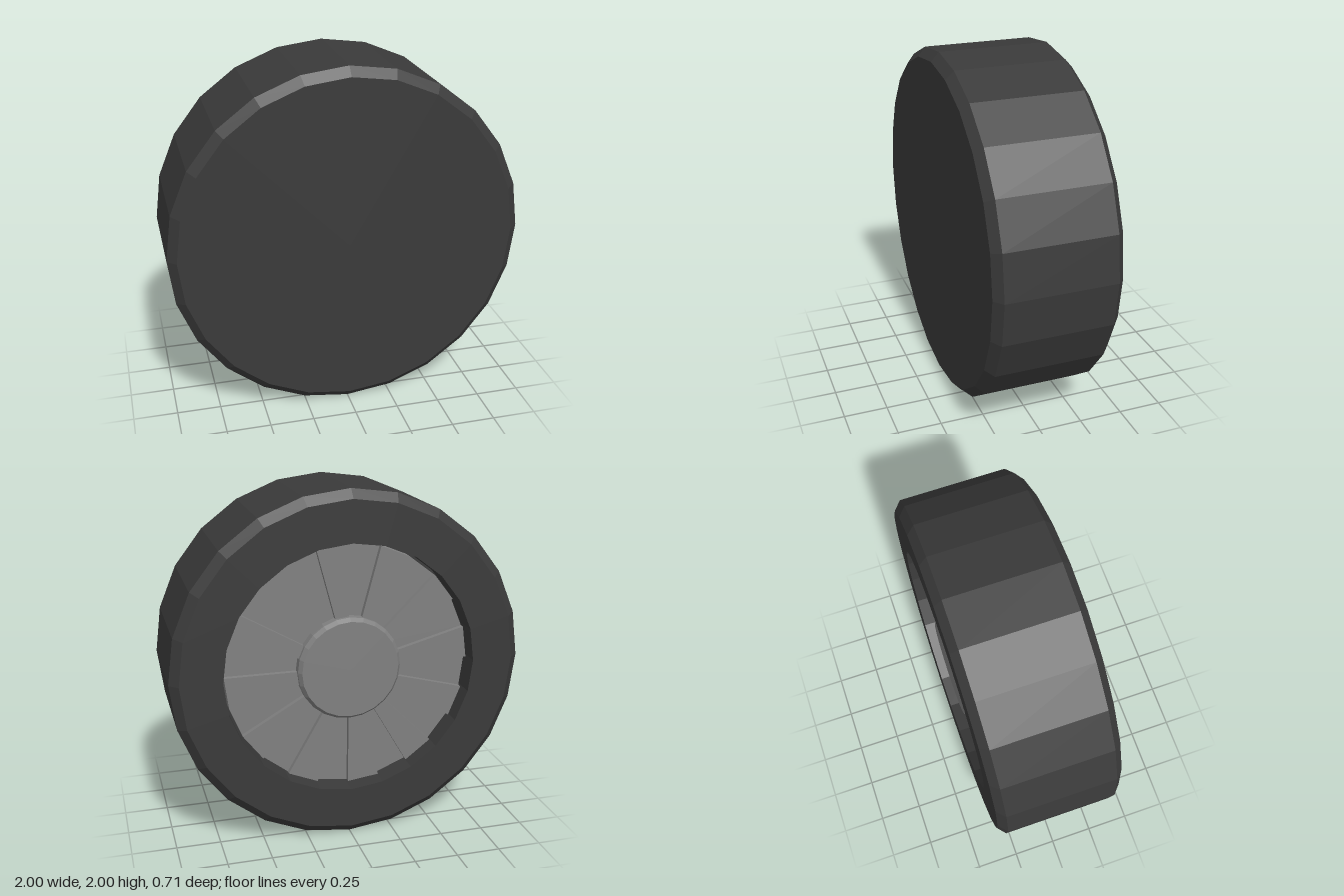
import * as THREE from 'three';

const SIDES = 24;
const rubber = new THREE.MeshStandardMaterial({ color: 0x3a3a3a, flatShading: true });
const metal = new THREE.MeshStandardMaterial({ color: 0x808080, flatShading: true });

// Faceted solid of revolution about the z axis; points are [radius, z], back to front
function turned(name, points, material) {
  const geometry = new THREE.LatheGeometry(points.map(([r, z]) => new THREE.Vector2(r, z)), SIDES);
  geometry.rotateX(Math.PI / 2);
  const mesh = new THREE.Mesh(geometry, material);
  mesh.name = name;
  return mesh;
}

// Wedge-shaped blade between two radii, covering one side of the wheel
function blade(index, backZ, frontZ) {
  const step = (Math.PI * 2) / SIDES;
  const a = index * step, b = a + step;
  const inner = 0.24, outer = 0.7;
  const shape = new THREE.Shape([[inner, a], [outer, a], [outer, b], [inner, b]]
    .map(([r, t]) => new THREE.Vector2(r * Math.cos(t), r * Math.sin(t))));
  const geometry = new THREE.ExtrudeGeometry(shape, { depth: frontZ - backZ, bevelEnabled: false });
  geometry.translate(0, 0, backZ);
  const mesh = new THREE.Mesh(geometry, metal);
  mesh.name = 'blade';
  return mesh;
}

export function createModel() {
  const wheel = new THREE.Group();
  wheel.name = 'wheel';
  wheel.position.y = 1;

  // Tyre: closed front, chamfered shoulders, recess in the back
  wheel.add(turned('tyre', [
    [0, -0.2], [0.715, -0.2], [0.715, -0.355], [0.95, -0.355],
    [1, -0.31], [1, 0.31], [0.95, 0.355], [0, 0.355],
  ], rubber));

  // Ring of blades, alternately raised and sunken
  const rim = new THREE.Group();
  rim.name = 'rim';
  for (let i = 0; i < SIDES; i++) rim.add(blade(i, i % 2 ? -0.28 : -0.25, -0.2));

  // Central hub cap
  rim.add(turned('hub', [[0, -0.325], [0.276, -0.325], [0.295, -0.3], [0.295, -0.2]], metal));
  wheel.add(rim);

  const model = new THREE.Group();
  model.name = 'model';
  model.add(wheel);
  return model;
}
